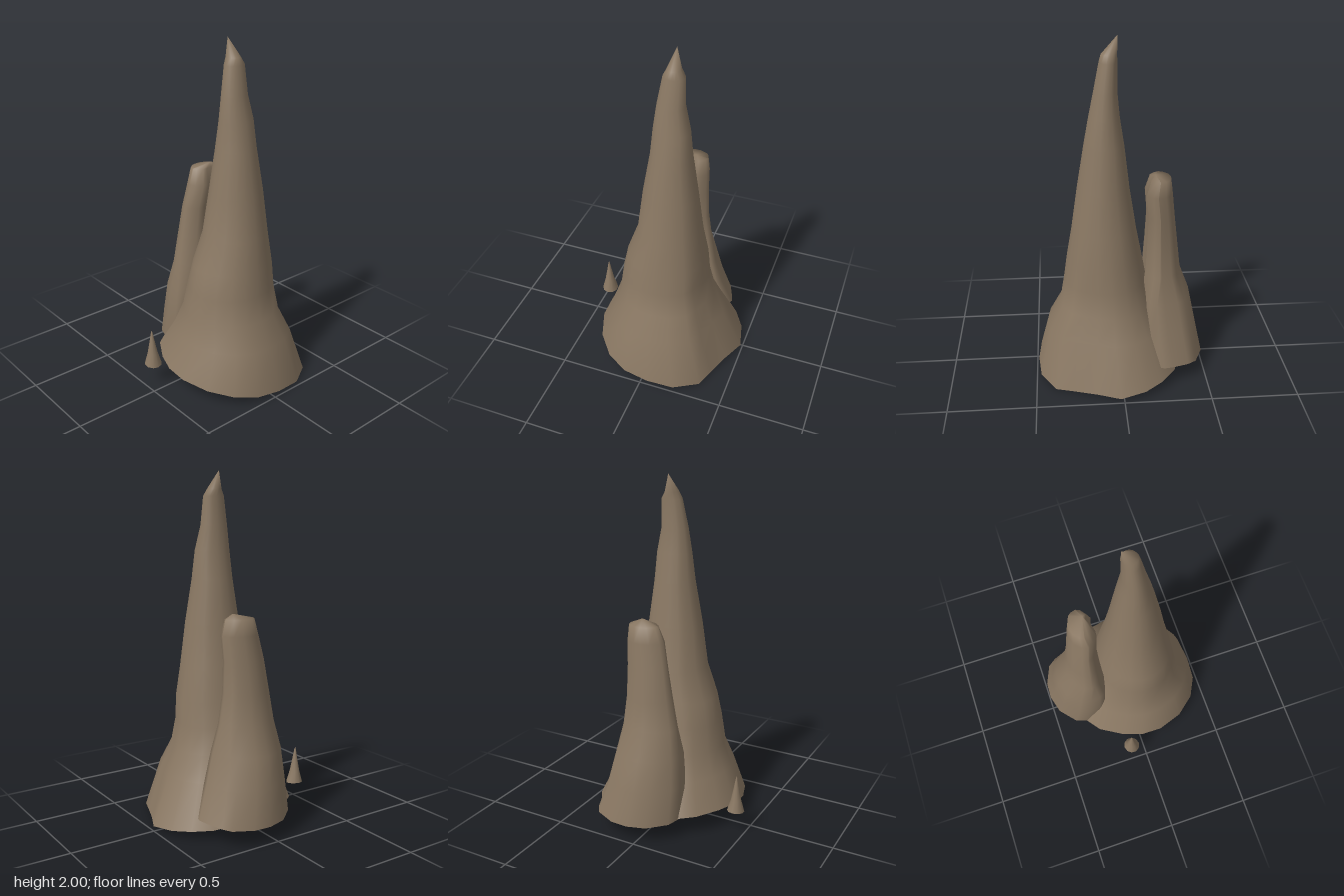
import * as THREE from 'three';

const rock = new THREE.MeshStandardMaterial({ color: 0x8a7863 });
rock.name = 'brown rock';

// Lofts a closed spire from a ground outline [x, z] through rings [y, xMin, xMax, zMin, zMax] to a tip.
// The outline becomes an ellipse after `ease` rings; groove(y, u, v) can pull points in.
function spire(name, outline, baseY, rings, tip, ease, groove) {
  const n = outline.length;
  const xs = outline.map(p => p[0]), zs = outline.map(p => p[1]);
  const x0 = Math.min(...xs), x1 = Math.max(...xs), z0 = Math.min(...zs), z1 = Math.max(...zs);
  const unit = outline.map(([x, z]) => [(2 * x - x0 - x1) / (x1 - x0), (2 * z - z0 - z1) / (z1 - z0)]);
  const pos = [], idx = [];

  // ground ring, then the rings above it
  outline.forEach(([x, z]) => pos.push(x, baseY(x, z), z));
  rings.forEach(([y, a, b, c, d], i) => {
    const round = Math.min(1, (i + 1) / ease);
    unit.forEach(([u, v]) => {
      const k = 1 + (1 / Math.hypot(u, v) - 1) * round;
      const x = (a + b) / 2 + u * k * (b - a) / 2;
      const z = (c + d) / 2 + v * k * (d - c) / 2;
      pos.push(x + (groove ? groove(y, u * k, v * k) : 0), y, z);
    });
  });
  for (let r = 0; r < rings.length; r++) {
    for (let j = 0; j < n; j++) {
      const a = r * n + j, b = r * n + (j + 1) % n;
      idx.push(a, a + n, b, b, a + n, b + n);
    }
  }

  // tip
  const top = rings.length * n, apex = pos.length / 3;
  pos.push(...tip);
  for (let j = 0; j < n; j++) idx.push(top + j, apex, top + (j + 1) % n);

  // flat underside with its own vertices so the rim stays sharp
  const under = pos.length / 3, cx = (x0 + x1) / 2, cz = (z0 + z1) / 2;
  outline.forEach(([x, z]) => pos.push(x, baseY(x, z), z));
  pos.push(cx, baseY(cx, cz), cz);
  for (let j = 0; j < n; j++) idx.push(under + n, under + j, under + (j + 1) % n);

  const geo = new THREE.BufferGeometry();
  geo.setAttribute('position', new THREE.Float32BufferAttribute(pos, 3));
  geo.setIndex(idx);
  geo.computeVertexNormals();
  const mesh = new THREE.Mesh(geo, rock);
  mesh.name = name;
  return mesh;
}

export function createModel() {
  const group = new THREE.Group();
  group.name = 'rockSpires';

  // tall main spire on a tilted base
  group.add(spire('mainSpire',
    [[0.02, -0.49], [0.15, -0.43], [0.28, -0.38], [0.39, -0.34], [0.475, -0.2], [0.49, -0.04], [0.475, 0.11],
      [0.41, 0.235], [0.29, 0.335], [0.135, 0.39], [0.005, 0.39], [-0.115, 0.35], [-0.25, 0.27], [-0.31, 0.19],
      [-0.36, 0.04], [-0.36, -0.13], [-0.31, -0.3], [-0.225, -0.39], [-0.125, -0.455]],
    (x, z) => Math.max(0, 0.07 - 0.09 * x + (z > 0 ? 0.12 : 0.09) * z),
    [
      [0.29, -0.26, 0.425, -0.375, 0.31],
      [0.43, -0.195, 0.348, -0.312, 0.262],
      [0.58, -0.16, 0.322, -0.28, 0.24],
      [0.72, -0.135, 0.303, -0.27, 0.21],
      [0.9, -0.1, 0.273, -0.235, 0.145],
      [1.15, -0.06, 0.237, -0.205, 0.112],
      [1.4, -0.03, 0.196, -0.167, 0.07],
      [1.56, -0.005, 0.167, -0.153, 0.054],
      [1.7, 0.008, 0.138, -0.122, 0.036],
      [1.86, 0.009, 0.108, -0.115, 0.008],
      [1.9, 0.009, 0.097, -0.09, -0.012],
    ],
    [0.008, 2, -0.05], 5));

  // shorter side spire, creased along the face towards the main one
  const crease = (y, u, v) => (y > 0.6 && u > 0.4 ? -0.025 * Math.max(0, Math.cos(v * 6)) : 0);
  group.add(spire('sideSpire',
    [[-0.245, -0.35], [-0.195, -0.335], [-0.16, -0.22], [-0.15, -0.12], [-0.15, -0.02], [-0.16, 0.07],
      [-0.2, 0.165], [-0.24, 0.18], [-0.31, 0.185], [-0.38, 0.16], [-0.465, 0.06], [-0.495, -0.05],
      [-0.49, -0.15], [-0.44, -0.265], [-0.39, -0.3], [-0.3, -0.335]],
    x => 0.1 + 0.08 * (x + 0.495),
    [
      [0.3, -0.455, -0.125, -0.285, 0.18],
      [0.47, -0.42, -0.125, -0.24, 0.165],
      [0.63, -0.36, -0.14, -0.205, 0.135],
      [0.8, -0.34, -0.15, -0.18, 0.105],
      [0.98, -0.318, -0.157, -0.175, 0.075],
      [1.12, -0.302, -0.143, -0.18, 0.045],
      [1.21, -0.29, -0.17, -0.165, 0.015],
    ],
    [-0.2, 1.235, -0.1], 14, crease));

  // small loose spike in front
  const ring = Array.from({ length: 10 }, (_, i) => {
    const a = i * Math.PI / 5;
    return [-0.085 + 0.05 * Math.cos(a), 0.44 + 0.05 * Math.sin(a)];
  });
  group.add(spire('smallSpike', ring, x => 0.13 - 0.1 * (x + 0.085),
    [[0.2, -0.117, -0.055, 0.412, 0.47], [0.28, -0.102, -0.071, 0.427, 0.456], [0.34, -0.092, -0.082, 0.438, 0.446]],
    [-0.088, 0.35, 0.442], 5));

  return group;
}
